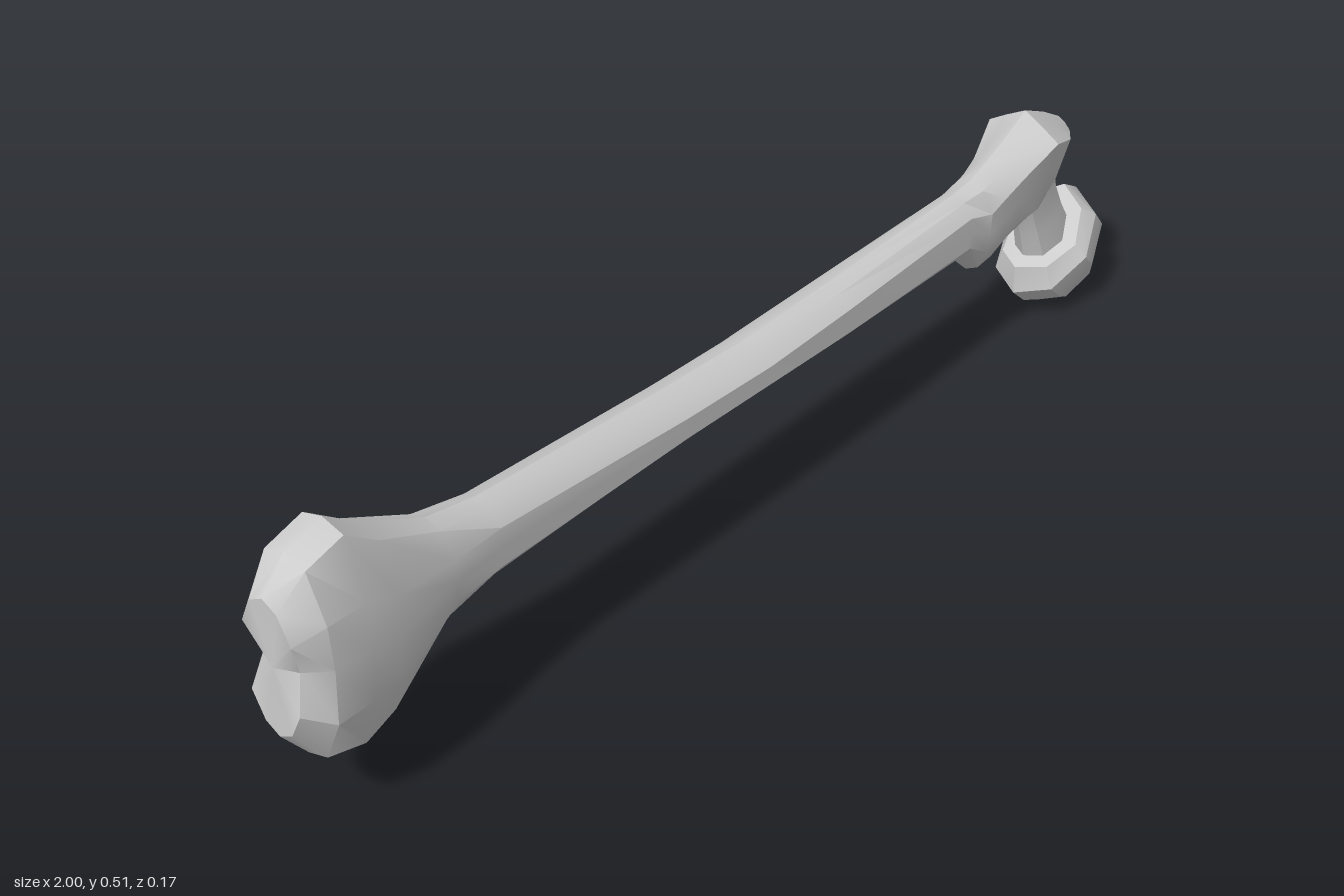
import * as THREE from 'three';
import { toCreasedNormals } from 'three/addons/utils/BufferGeometryUtils.js';

// Skin a list of rings (counter-clockwise about the direction of travel) and cap both ends
function loft(name, rings, crease) {
  const n = rings[0].length, pos = [], idx = [];
  rings.forEach(r => r.forEach(p => pos.push(p.x, p.y, p.z)));
  for (let i = 0; i < rings.length - 1; i++) {
    for (let j = 0; j < n; j++) {
      const a = i * n + j, b = i * n + (j + 1) % n;
      idx.push(a, b, b + n, a, b + n, a + n);
    }
  }
  [0, rings.length - 1].forEach(i => {
    const c = new THREE.Vector3();
    rings[i].forEach(p => c.addScaledVector(p, 1 / n));
    const k = pos.length / 3;
    pos.push(c.x, c.y, c.z);
    for (let j = 0; j < n; j++) {
      const a = i * n + j, b = i * n + (j + 1) % n;
      if (i === 0) idx.push(k, b, a);
      else idx.push(k, a, b);
    }
  });
  const geo = new THREE.BufferGeometry();
  geo.setAttribute('position', new THREE.Float32BufferAttribute(pos, 3));
  geo.setIndex(idx);
  const mesh = new THREE.Mesh(toCreasedNormals(geo, crease),
    new THREE.MeshStandardMaterial({ color: 0xcccccc }));
  mesh.name = name;
  return mesh;
}

// Twelve-sided section across x: ridge, bevel, shoulder and waist, mirrored in z
function section([x, top, bottom, wide, low, drop, bevel, dent = 0]) {
  const half = [
    [wide * 0.55, top - bevel], [wide, top - drop],
    [(wide + low) / 2 - dent, (top + bottom) / 2],
    [low, bottom + drop], [low * 0.55, bottom + bevel],
  ];
  const at = (z, y, k) => new THREE.Vector3(x + (k === 2 ? dent * 1.6 : 0), y, z);
  return [
    at(0, top), ...half.map(([z, y], k) => at(z, y, k)),
    at(0, bottom), ...half.map(([z, y], k) => at(-z, y, k)).reverse(),
  ];
}

// Sections along the leaning axis of the neck and head: [distance, radius, offset, rim sag]
function leaningRings(origin, axis, depth, stations) {
  const u = new THREE.Vector3(-axis.y, axis.x, 0);
  return stations.map(([t, r, shift = 0, sag = 0]) =>
    Array.from({ length: 8 }, (_, j) => {
      const a = j * Math.PI / 4, s = Math.sin(a);
      const p = origin.clone().addScaledVector(axis, t + sag * s * s)
        .addScaledVector(u, shift + r * Math.cos(a));
      p.z = r * depth * s;
      return p;
    }));
}

export function createModel() {
  const group = new THREE.Group();
  group.name = 'thighBone';

  // Knee end, shaft and hip knob: x, top, bottom, upper width, lower width, drop, bevel, dent
  const stations = [
    [-0.995, 0.44, 0.2, 0.048, 0.048, 0.06, 0.015, 0.012],
    [-0.95, 0.49, 0.14, 0.072, 0.072, 0.09, 0.013, 0.006],
    [-0.88, 0.508, 0.12, 0.073, 0.073, 0.11, 0.012, 0.003],
    [-0.82, 0.463, 0.14, 0.07, 0.07, 0.09, 0.012],
    [-0.7, 0.402, 0.23, 0.056, 0.056, 0.05, 0.01],
    [-0.6, 0.382, 0.245, 0.047, 0.047, 0.035, 0.009],
    [-0.2, 0.355, 0.255, 0.052, 0.052, 0.032, 0.009],
    [0, 0.346, 0.253, 0.053, 0.053, 0.03, 0.009],
    [0.2, 0.35, 0.246, 0.051, 0.051, 0.03, 0.009],
    [0.56, 0.36, 0.235, 0.041, 0.041, 0.033, 0.009],
    [0.61, 0.367, 0.188, 0.05, 0.045, 0.05, 0.012],
    [0.65, 0.38, 0.19, 0.05, 0.045, 0.05, 0.014],
    [0.7, 0.402, 0.205, 0.055, 0.045, 0.05, 0.018],
    [0.77, 0.437, 0.21, 0.073, 0.04, 0.042, 0.022],
    [0.83, 0.41, 0.25, 0.06, 0.035, 0.035, 0.02],
    [0.882, 0.38, 0.31, 0.025, 0.025, 0.02, 0.008],
  ];
  group.add(loft('shaft', stations.map(section), 0.6));

  // Neck
  const neckAxis = new THREE.Vector3(0.4, -0.917, 0).normalize();
  group.add(loft('neck', leaningRings(new THREE.Vector3(0.79, 0.3, 0), neckAxis, 0.68,
    [[0, 0.06], [0.06, 0.054], [0.11, 0.056], [0.17, 0.064]]), 0.6));

  // Ball of the hip joint
  const headAxis = new THREE.Vector3(0.59, -0.807, 0).normalize();
  group.add(loft('head', leaningRings(new THREE.Vector3(0.845, 0.17, 0), headAxis, 0.74,
    [[0, 0.092, 0, 0.03], [0.045, 0.118, -0.006, 0.01], [0.095, 0.114],
      [0.15, 0.083], [0.18, 0.042]]), 0.45));

  return group;
}
